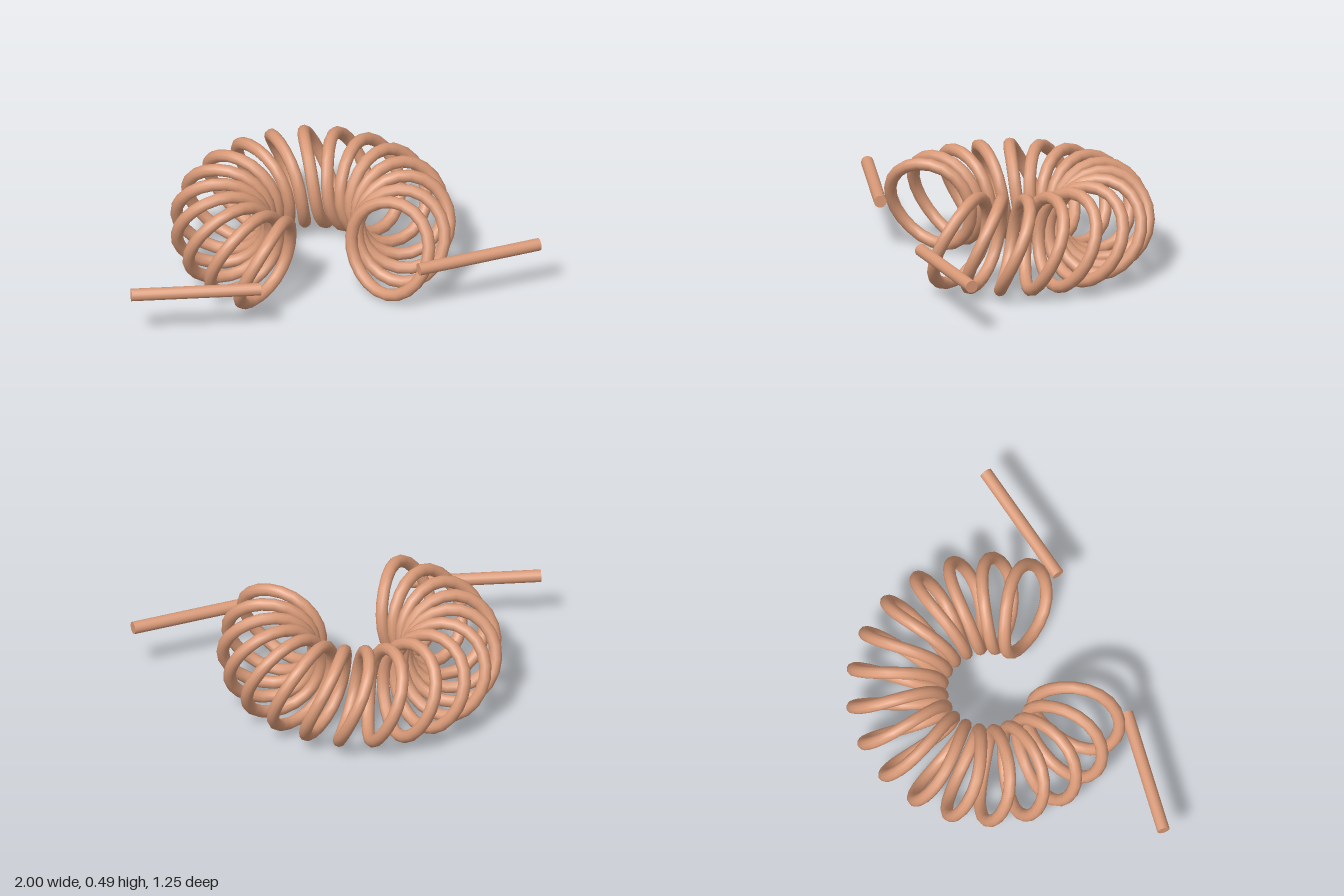
import * as THREE from 'three';

const MAJOR = 0.435, MINOR = 0.215, WIRE = 0.03;
const CENTRE_Y = 0.245, CENTRE_Z = 0.05;
const PITCH = THREE.MathUtils.degToRad(17.1);
const TURNS_PER_SIDE = 8;

// One leaning turn of wire around the ring, at angle theta from the back
class TurnCurve extends THREE.Curve {
  constructor(theta) {
    super();
    this.theta = theta;
  }
  getPoint(t, target = new THREE.Vector3()) {
    const phi = t * Math.PI * 2;
    const radius = MAJOR + MINOR * Math.cos(phi);
    const angle = this.theta - PITCH / 2 * Math.sin(phi);
    return target.set(
      radius * Math.sin(angle),
      CENTRE_Y + MINOR * Math.sin(phi),
      CENTRE_Z - radius * Math.cos(angle)
    );
  }
}

export function createModel() {
  const model = new THREE.Group();
  model.name = 'toroidalCoil';
  const copper = new THREE.MeshStandardMaterial({ color: 0xd99a78 });

  // Winding: evenly spaced turns along an open ring
  const winding = new THREE.Group();
  winding.name = 'winding';
  for (let k = -TURNS_PER_SIDE; k <= TURNS_PER_SIDE; k++) {
    const geometry = new THREE.TubeGeometry(new TurnCurve(k * PITCH), 22, WIRE, 10, true);
    const turn = new THREE.Mesh(geometry, copper);
    turn.name = 'wireTurn';
    winding.add(turn);
  }
  model.add(winding);

  // Straight leads at both ends of the winding
  for (const side of [1, -1]) {
    const start = new THREE.Vector3(side * 0.385, CENTRE_Y, 0.593);
    const end = new THREE.Vector3(side * 0.995, CENTRE_Y, 0.5);
    const direction = end.clone().sub(start);
    const lead = new THREE.Mesh(
      new THREE.CylinderGeometry(WIRE, WIRE, direction.length(), 16), copper);
    lead.position.copy(start).add(end).multiplyScalar(0.5);
    lead.quaternion.setFromUnitVectors(new THREE.Vector3(0, 1, 0), direction.normalize());
    lead.name = side > 0 ? 'leftLead' : 'rightLead';
    model.add(lead);
  }
  return model;
}
